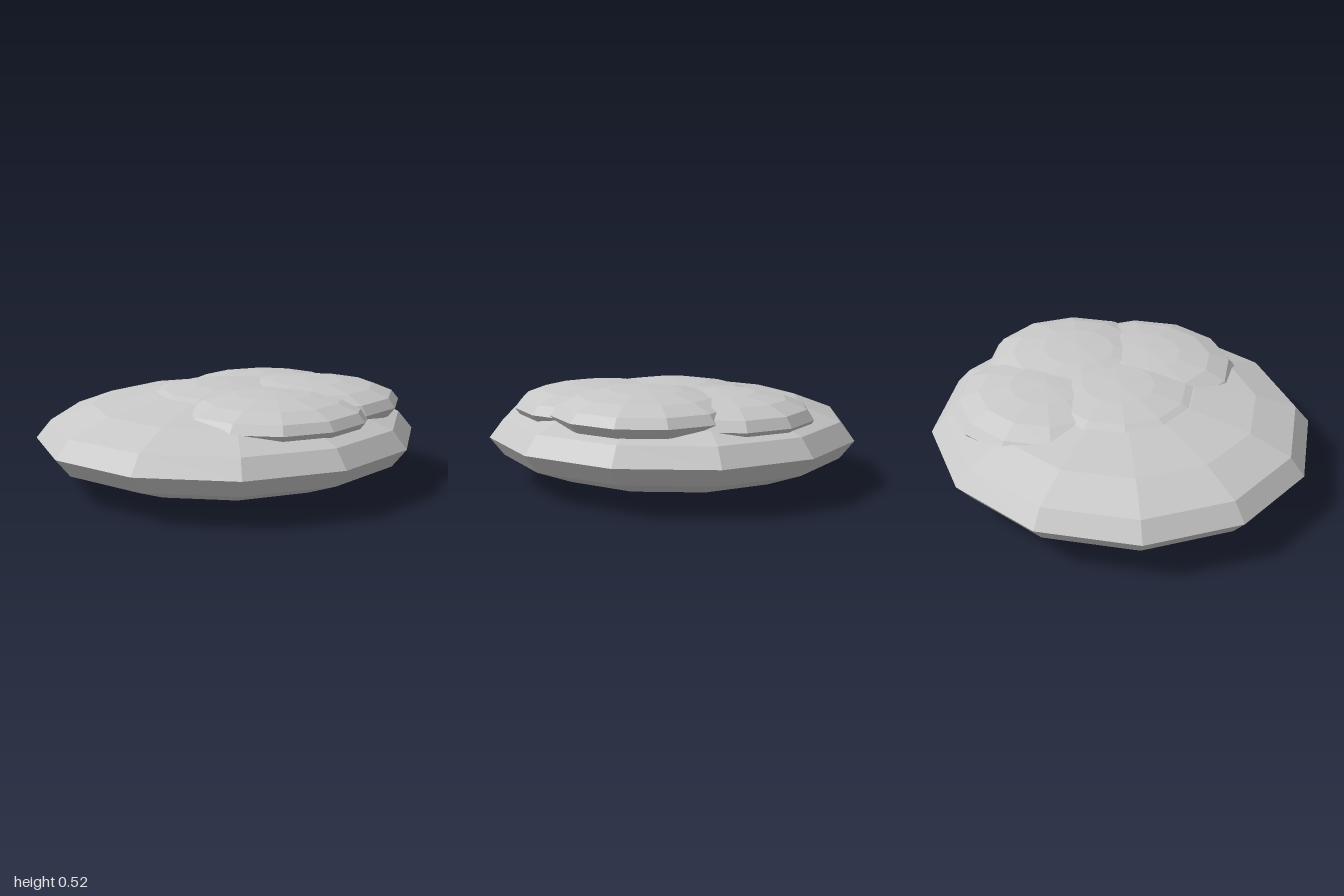
import * as THREE from 'three';

const stone = new THREE.MeshStandardMaterial({ color: 0xc8c8c8 });
stone.name = 'stoneGrey';

// Faceted, flattened ball with unshared corners so every face is flat shaded
function flatPebble(name, [x, y, z], [rx, ry, rz]) {
  const geometry = new THREE.SphereGeometry(1, 12, 8).scale(rx, ry, rz).toNonIndexed();
  geometry.computeVertexNormals();
  const mesh = new THREE.Mesh(geometry, stone);
  mesh.name = name;
  mesh.position.set(x, y, z);
  return mesh;
}

export function createModel() {
  const model = new THREE.Group();
  model.name = 'flatStone';

  // Wide base disc
  model.add(flatPebble('base', [0, 0.24, 0], [1, 0.24, 0.943]));

  // Overlapping mounds sunk into its top
  model.add(flatPebble('frontMound', [0.03, 0.392, 0.35], [0.5, 0.12, 0.465]));
  model.add(flatPebble('leftMound', [0.355, 0.402, 0.21], [0.5, 0.122, 0.468]));
  model.add(flatPebble('backMound', [0.35, 0.37, -0.16], [0.495, 0.132, 0.47]));
  model.add(flatPebble('centreMound', [0.02, 0.392, 0], [0.5, 0.12, 0.472]));
  return model;
}
